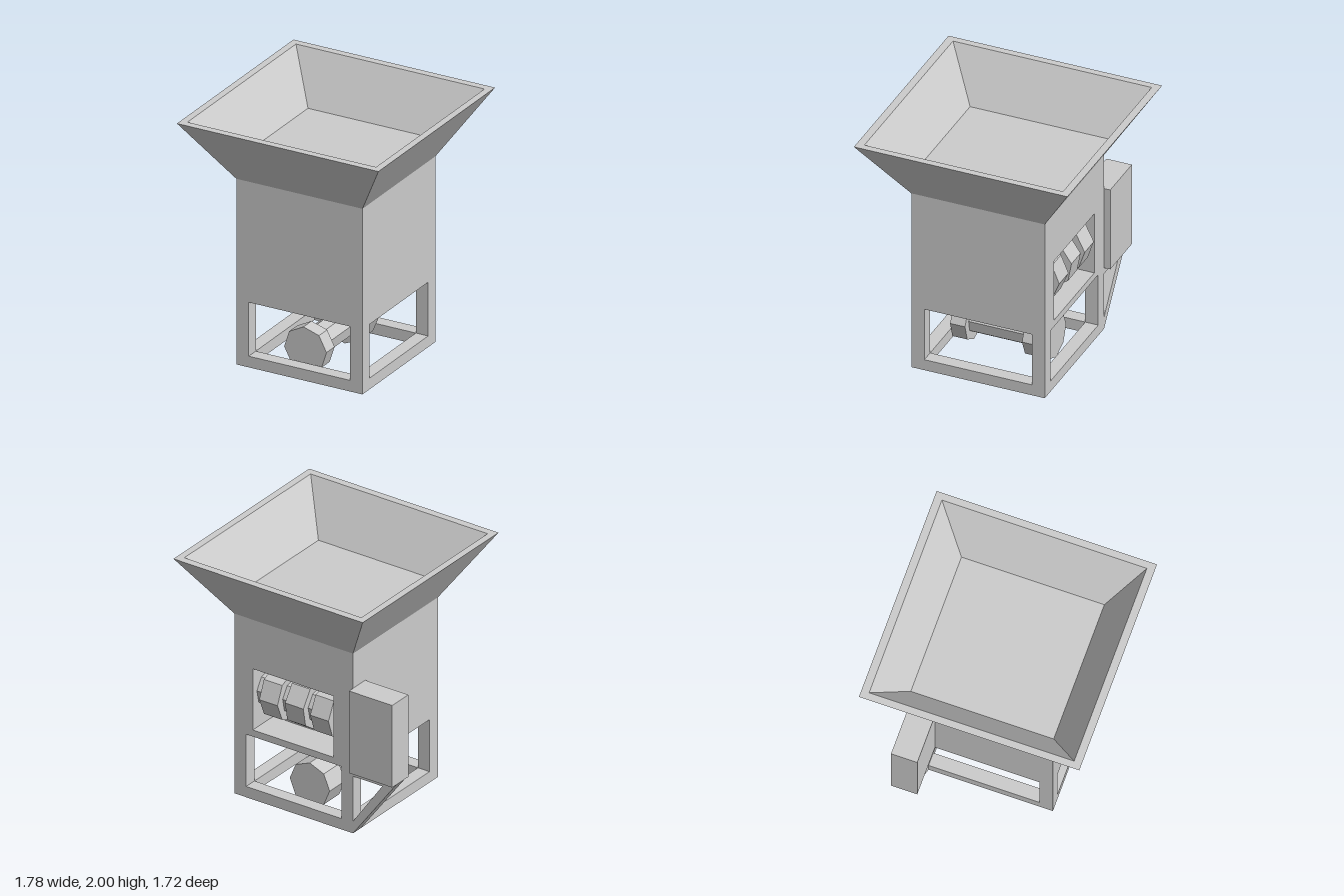
import * as THREE from 'three';

const material = new THREE.MeshStandardMaterial({ color: 0xcccccc, flatShading: true });

// Body footprint
const X0 = -0.505, X1 = 0.565, Z0 = -0.535, Z1 = 0.54, BAR = 0.105;

function add(parent, name, geometry) {
  const mesh = new THREE.Mesh(geometry, material);
  mesh.name = name;
  parent.add(mesh);
  return mesh;
}

// Box given by its limits on each axis
function box(x0, x1, y0, y1, z0, z1) {
  return new THREE.BoxGeometry(x1 - x0, y1 - y0, z1 - z0)
    .translate((x0 + x1) / 2, (y0 + y1) / 2, (z0 + z1) / 2);
}

const rect = (x0, x1, y0, y1) => [[x0, y0], [x1, y0], [x1, y1], [x0, y1]].map(p => new THREE.Vector2(...p));

// Flat plate with one hole, extruded along z
function plate(outline, hole, depth) {
  const shape = new THREE.Shape(outline);
  shape.holes.push(new THREE.Path(hole));
  return new THREE.ExtrudeGeometry(shape, { depth, bevelEnabled: false });
}

// Eight-sided rollers
function rollerZ(r, z0, z1, turn) {
  return new THREE.CylinderGeometry(r, r, z1 - z0, 8)
    .rotateX(Math.PI / 2).rotateZ(turn * Math.PI / 180).translate(0, 0.18, (z0 + z1) / 2);
}
function rollerX(r, width, x, turn) {
  return new THREE.CylinderGeometry(r, r, width, 8)
    .rotateZ(Math.PI / 2).rotateX(turn * Math.PI / 180).translate(x, 0.86, -0.345);
}

// Skin through rectangular rings [x0, x1, z0, z1, y], closed by the last ring
function ringSkin(rings) {
  const loops = rings.map(([x0, x1, z0, z1, y]) => [[x0, y, z1], [x1, y, z1], [x1, y, z0], [x0, y, z0]]);
  const pos = [];
  const quad = (a, b, c, d) => pos.push(...a, ...b, ...c, ...a, ...c, ...d);
  for (let i = 0; i < loops.length - 1; i++) {
    for (let j = 0; j < 4; j++) {
      const k = (j + 1) % 4;
      quad(loops[i][j], loops[i][k], loops[i + 1][k], loops[i + 1][j]);
    }
  }
  quad(...loops[loops.length - 1]);
  const g = new THREE.BufferGeometry();
  g.setAttribute('position', new THREE.Float32BufferAttribute(pos, 3));
  g.computeVertexNormals();
  return g;
}

export function createModel() {
  const model = new THREE.Group();
  model.name = 'grinderMachine';

  // Housing with a window recess at the back
  const housing = new THREE.Group();
  housing.name = 'housing';
  model.add(housing);
  add(housing, 'mainBlock', box(X0, X1, 0.525, 1.5, Z0 + 0.26, Z1));
  add(housing, 'windowPanel', plate(rect(X0, X1, 0.525, 1.5), rect(-0.33, 0.4, 0.58, 1.09), 0.26)
    .translate(0, 0, Z0));

  // Open base: ring on the ground and four posts
  const base = new THREE.Group();
  base.name = 'baseFrame';
  model.add(base);
  add(base, 'groundRing', plate(rect(X0, X1, -Z1, -Z0),
    rect(X0 + BAR, X1 - BAR, -Z1 + BAR, -Z0 - BAR), 0.09).rotateX(-Math.PI / 2));
  for (const x of [X0, X1 - BAR]) {
    for (const z of [Z0, Z1 - BAR]) add(base, 'post', box(x, x + BAR, 0.09, 0.525, z, z + BAR));
  }

  // Flared hopper with thick rim and inner floor
  add(model, 'hopper', ringSkin([
    [X0, X1, Z0, Z1, 1.5],
    [-0.825, 0.885, -0.86, 0.86, 2],
    [-0.77, 0.83, -0.8, 0.8, 2],
    [-0.53, 0.585, -0.56, 0.555, 1.63],
  ]));

  // Grinding rollers in the window
  const grinder = new THREE.Group();
  grinder.name = 'grinder';
  model.add(grinder);
  add(grinder, 'grinderShaft', rollerX(0.14, 0.73, 0.035, 10));
  [[0.25, 0], [0.02, 12], [-0.21, 4]].forEach(([x, turn]) =>
    add(grinder, 'grinderDisc', rollerX(0.203, 0.165, x, turn)));

  // Spool lying in the base
  const spool = new THREE.Group();
  spool.name = 'spool';
  model.add(spool);
  add(spool, 'spoolFrontDisc', rollerZ(0.18, 0.28, 0.4, 5));
  add(spool, 'spoolShaft', rollerZ(0.115, -0.18, 0.28, 12.5));
  add(spool, 'spoolBackDisc', rollerZ(0.18, -0.375, -0.18, 0));

  // Side box on a triangular bracket
  add(model, 'motorBox', box(-0.895, X0, 0.525, 1.21, -0.585, -0.38));
  const outline = [[X0, 0], [X0, 0.1], [-0.77, 0.475], [X0, 0.475], [X0, 0.525], [-0.895, 0.525]];
  add(model, 'bracket', new THREE.ExtrudeGeometry(
    new THREE.Shape(outline.map(p => new THREE.Vector2(...p))),
    { depth: BAR, bevelEnabled: false }).translate(0, 0, Z0));

  return model;
}
